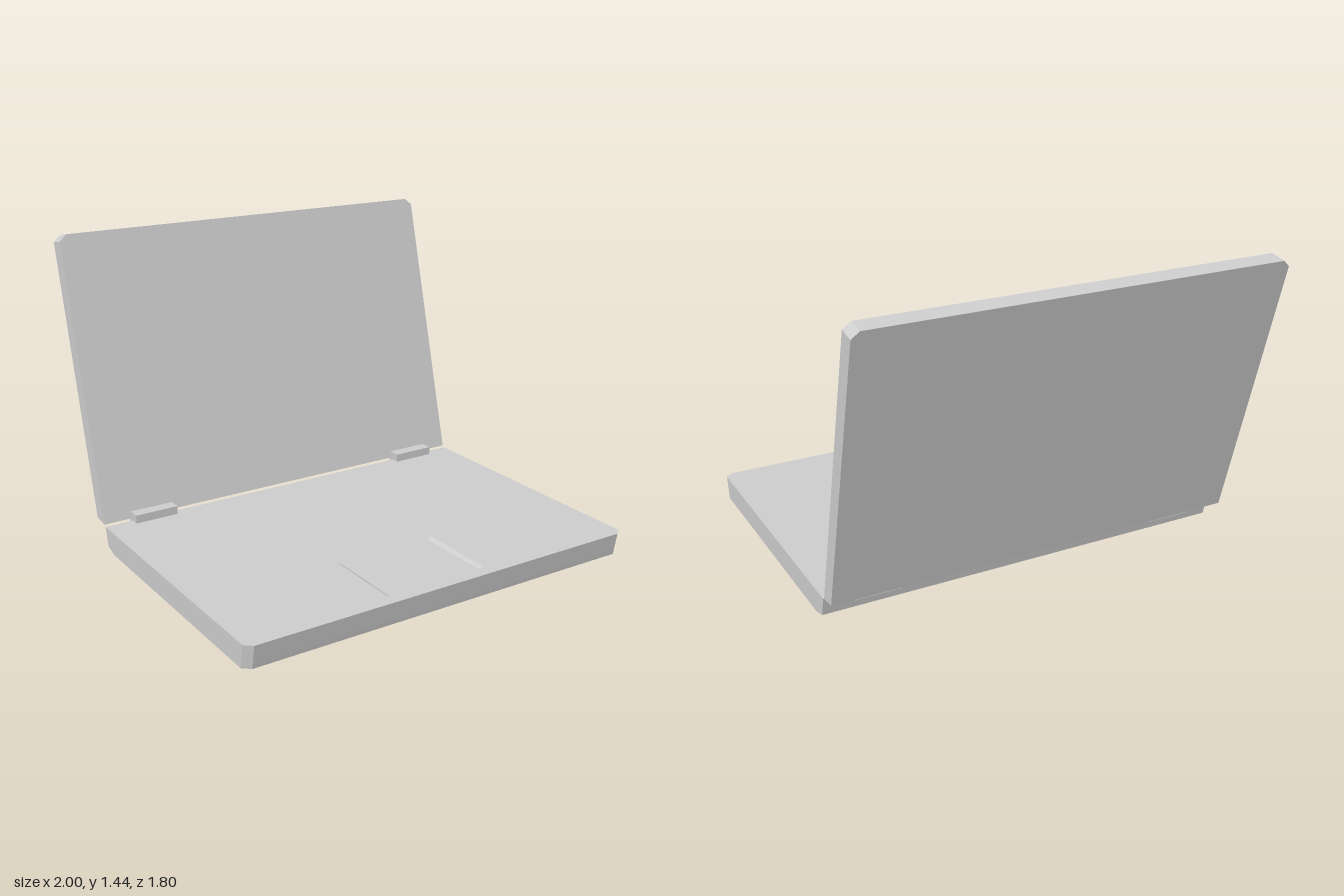
import * as THREE from 'three';

const v = (x, y, z) => new THREE.Vector3(x, y, z);

// Flat-faced solid through a list of matching rings, capped at both ends
function loft(rings) {
  const tris = [];
  const tri = (a, b, c) => {
    const area = b.clone().sub(a).cross(c.clone().sub(a)).length();
    if (area > 1e-7) for (const p of [a, b, c]) tris.push(p.x, p.y, p.z);
  };
  const n = rings[0].length;
  for (let r = 0; r + 1 < rings.length; r++) {
    const lo = rings[r], hi = rings[r + 1];
    for (let i = 0; i < n; i++) {
      const j = (i + 1) % n;
      tri(lo[i], lo[j], hi[j]);
      tri(lo[i], hi[j], hi[i]);
    }
  }
  const first = rings[0], last = rings[rings.length - 1];
  for (let i = 1; i + 1 < n; i++) {
    tri(first[0], first[i + 1], first[i]);
    tri(last[0], last[i], last[i + 1]);
  }
  const geo = new THREE.BufferGeometry();
  geo.setAttribute('position', new THREE.Float32BufferAttribute(tris, 3));
  geo.computeVertexNormals();
  return geo;
}

// Level rectangle whose two front corners are cut by cx, cz
const levelRing = (y, x0, x1, back, front, cx, cz) => [
  v(x1 - cx, y, front), v(x1, y, front - cz), v(x1, y, back),
  v(x0, y, back), v(x0, y, front - cz), v(x0 + cx, y, front),
];

// Upright lid outline whose depth follows its lean
const lidRing = (bottom, shoulder, top, z0, lean) =>
  [[1, bottom], [1, shoulder], [0.965, top], [-0.965, top], [-1, shoulder], [-1, bottom]]
    .map(([x, y]) => v(x, y, z0 - (y - bottom) * lean));

export function createModel() {
  const group = new THREE.Group();
  const grey = new THREE.MeshStandardMaterial({ color: 0xcccccc });
  grey.name = 'light grey';
  const add = (name, geo) => {
    const mesh = new THREE.Mesh(geo, grey);
    mesh.name = name;
    group.add(mesh);
    return mesh;
  };

  // Base: tapered underside, flat deck, shallow touchpad recess
  add('base', loft([
    levelRing(0, -1, 1, -0.375, 0.88, 0.035, 0.03),
    levelRing(0.02, -1, 1, -0.442, 0.884, 0.035, 0.03),
    levelRing(0.11, -1, 1, -0.463, 0.9, 0.035, 0.03),
    levelRing(0.11, -0.295, 0.22, 0.445, 0.838, 0, 0),
    levelRing(0.099, -0.275, 0.202, 0.462, 0.822, 0, 0),
  ]));

  // Lid: leaning slab with cut top corners
  add('lid', loft([
    lidRing(0.125, 1.395, 1.425, -0.555, 0.265),
    lidRing(0.118, 1.41, 1.44, -0.475, 0.261),
  ]));

  // Hinge blocks joining base and lid
  for (const [name, x] of [['rightHinge', -0.753], ['leftHinge', 0.76]]) {
    add(name, new THREE.BoxGeometry(0.215, 0.07, 0.07)).position.set(x, 0.115, -0.457);
  }
  return group;
}
